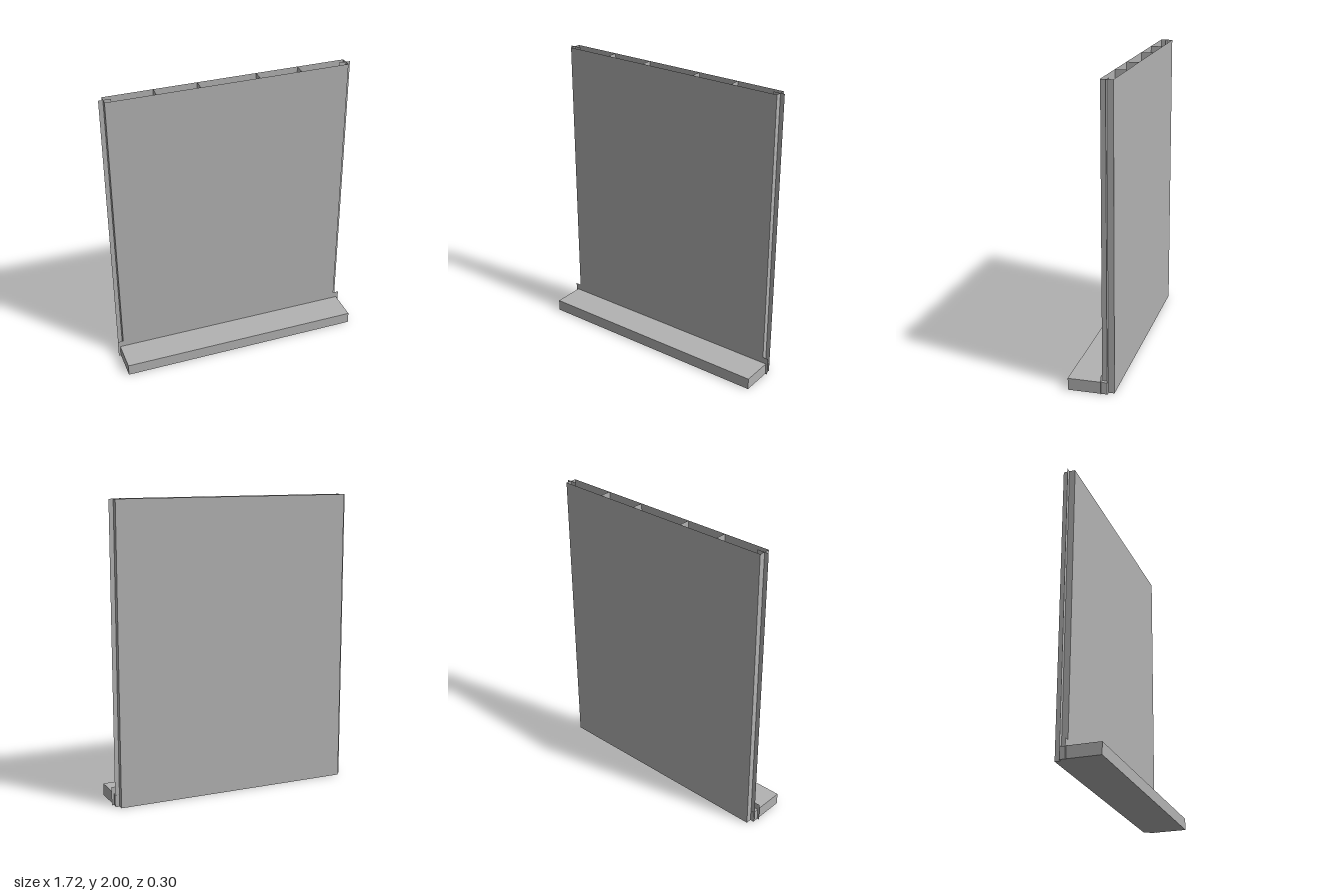
import * as THREE from 'three';

export function createModel() {
  const group = new THREE.Group();
  const grey = new THREE.MeshStandardMaterial({ color: 0xb2b2b2, side: THREE.DoubleSide });
  grey.name = 'plain grey';

  const add = (name, geometry, x, y, z) => {
    const mesh = new THREE.Mesh(geometry, grey);
    mesh.name = name;
    mesh.position.set(x, y, z);
    group.add(mesh);
    return mesh;
  };

  const H = 2, half = 0.82, front = -0.07, back = -0.15;
  const depth = front - back, mid = (front + back) / 2;

  // Front sheet, widened into two small tabs at the foot
  const outline = new THREE.Shape([
    [-0.86, 0], [0.86, 0], [0.86, 0.125], [half, 0.125],
    [half, H], [-half, H], [-half, 0.125], [-0.86, 0.125],
  ].map(([x, y]) => new THREE.Vector2(x, y)));
  add('frontSheet', new THREE.ShapeGeometry(outline), 0, 0, front);

  // Back sheet, facing the rear
  add('backSheet', new THREE.PlaneGeometry(half * 2, H), 0, H / 2, back).rotation.y = Math.PI;

  // Floor of the hollow panel, facing down
  add('panelFloor', new THREE.PlaneGeometry(half * 2, depth), 0, 0, mid).rotation.x = Math.PI / 2;

  for (const side of [-1, 1]) {
    // End wall and inner ribs between the sheets
    for (const [name, x] of [['endWall', half], ['outerRib', 0.49], ['innerRib', 0.2]]) {
      add(name, new THREE.PlaneGeometry(depth, H), side * x, H / 2, mid).rotation.y = side * Math.PI / 2;
    }
    // Joining flange that sticks out of the end wall
    add('edgeFlange', new THREE.PlaneGeometry(0.08, H), side * 0.81, H / 2, mid);
  }

  // Solid base slab running out to the front
  add('baseSlab', new THREE.BoxGeometry(1.69, 0.08, 0.262), 0, 0.04, 0.019);

  return group;
}
